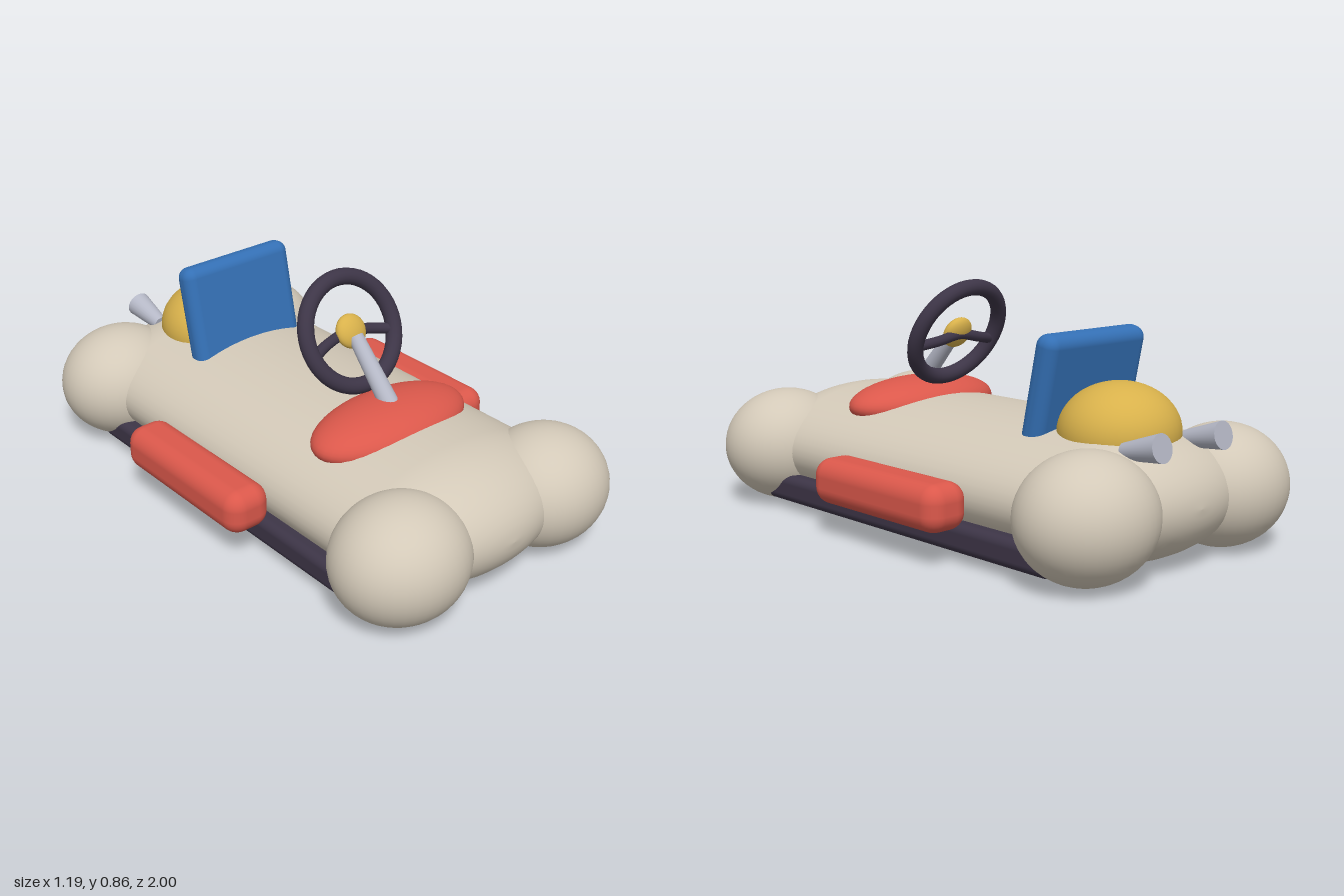
import * as THREE from 'three';
import { RoundedBoxGeometry } from 'three/addons/geometries/RoundedBoxGeometry.js';

const mat = (name, color) => {
  const m = new THREE.MeshStandardMaterial({ color });
  m.name = name;
  return m;
};

export function createModel() {
  const cream = mat('cream', 0xd3c9b8);
  const red = mat('red', 0xdb584b);
  const blue = mat('blue', 0x3470b5);
  const gold = mat('gold', 0xd8b14b);
  const dark = mat('dark plum', 0x3d3547);
  const grey = mat('grey', 0xb5b8c6);

  const kart = new THREE.Group();
  kart.name = 'kart';

  const add = (name, geometry, material, pos = [0, 0, 0], parent = kart) => {
    const mesh = new THREE.Mesh(geometry, material);
    mesh.name = name;
    mesh.position.set(...pos);
    parent.add(mesh);
    return mesh;
  };
  const ellipsoid = (name, material, pos, radii, parent) => {
    const mesh = add(name, new THREE.SphereGeometry(1, 40, 28), material, pos, parent);
    mesh.scale.set(...radii);
    return mesh;
  };
  // Tapered rod between two points, r0 at the start and r1 at the end
  const rod = (name, material, from, to, r0, r1) => {
    const a = new THREE.Vector3(...from), b = new THREE.Vector3(...to);
    const dir = b.clone().sub(a);
    const mesh = add(name, new THREE.CylinderGeometry(r1, r0, dir.length(), 24), material);
    mesh.position.copy(a).add(b).multiplyScalar(0.5);
    mesh.quaternion.setFromUnitVectors(new THREE.Vector3(0, 1, 0), dir.normalize());
    return mesh;
  };

  // Body: flattened capsule with shallow caps at both ends
  const profile = [];
  for (let i = 0; i <= 12; i++) {
    const t = (i / 12) * Math.PI / 2;
    profile.push(new THREE.Vector2(Math.sin(t), -0.65 - 0.31 * Math.cos(t)));
  }
  for (let i = 12; i >= 0; i--) profile.push(new THREE.Vector2(profile[i].x, -profile[i].y));
  const shell = new THREE.LatheGeometry(profile, 56).rotateX(Math.PI / 2);
  add('body', shell, cream, [0, 0.222, 0]).scale.set(0.445, 0.217, 1);

  // Floor slab showing along both lower sides
  add('floor', new RoundedBoxGeometry(0.92, 0.1, 1.48, 4, 0.03), dark, [0, 0.085, 0]);

  // Bulbous corners and side bumpers
  for (const [side, s] of [['left', 1], ['right', -1]]) {
    ellipsoid(side + 'FrontWheel', cream, [0.33 * s, 0.22, 0.78], [0.24, 0.21, 0.22]);
    ellipsoid(side + 'RearWheel', cream, [0.33 * s, 0.22, -0.78], [0.24, 0.21, 0.22]);
    add(side + 'Bumper', new RoundedBoxGeometry(0.17, 0.16, 0.645, 5, 0.06), red,
      [0.512 * s, 0.2, -0.05]);
    // Flared exhaust pipe
    rod(side + 'Exhaust', grey, [0.15 * s, 0.398, -0.77], [0.15 * s, 0.43, -0.92], 0.028, 0.047);
  }

  // Cowl, engine dome and seat back
  ellipsoid('cowl', red, [0, 0.4, 0.37], [0.32, 0.095, 0.17]);
  ellipsoid('engine', gold, [0, 0.42, -0.615], [0.21, 0.165, 0.2]);
  add('seatBack', new RoundedBoxGeometry(0.47, 0.42, 0.09, 5, 0.04), blue,
    [0, 0.535, -0.452]).rotation.x = -0.21;

  // Steering column and wheel
  rod('steeringColumn', grey, [0, 0.44, 0.4], [0, 0.66, 0.195], 0.036, 0.027);
  const steering = new THREE.Group();
  steering.name = 'steeringWheel';
  steering.position.set(0, 0.672, 0.17);
  steering.rotation.x = -0.46;
  kart.add(steering);
  add('rim', new THREE.TorusGeometry(0.188, 0.029, 16, 48), dark, [0, 0, 0], steering);
  ellipsoid('hub', gold, [0, 0, 0], [0.06, 0.06, 0.032], steering);
  const spokePath = new THREE.CatmullRomCurve3([
    [-0.182, -0.045, 0], [-0.1, -0.018, -0.018], [0, 0, -0.015],
    [0.1, -0.018, -0.018], [0.182, -0.045, 0],
  ].map((p) => new THREE.Vector3(...p)));
  add('spokes', new THREE.TubeGeometry(spokePath, 28, 0.019, 12), dark, [0, 0, 0], steering);

  return kart;
}
